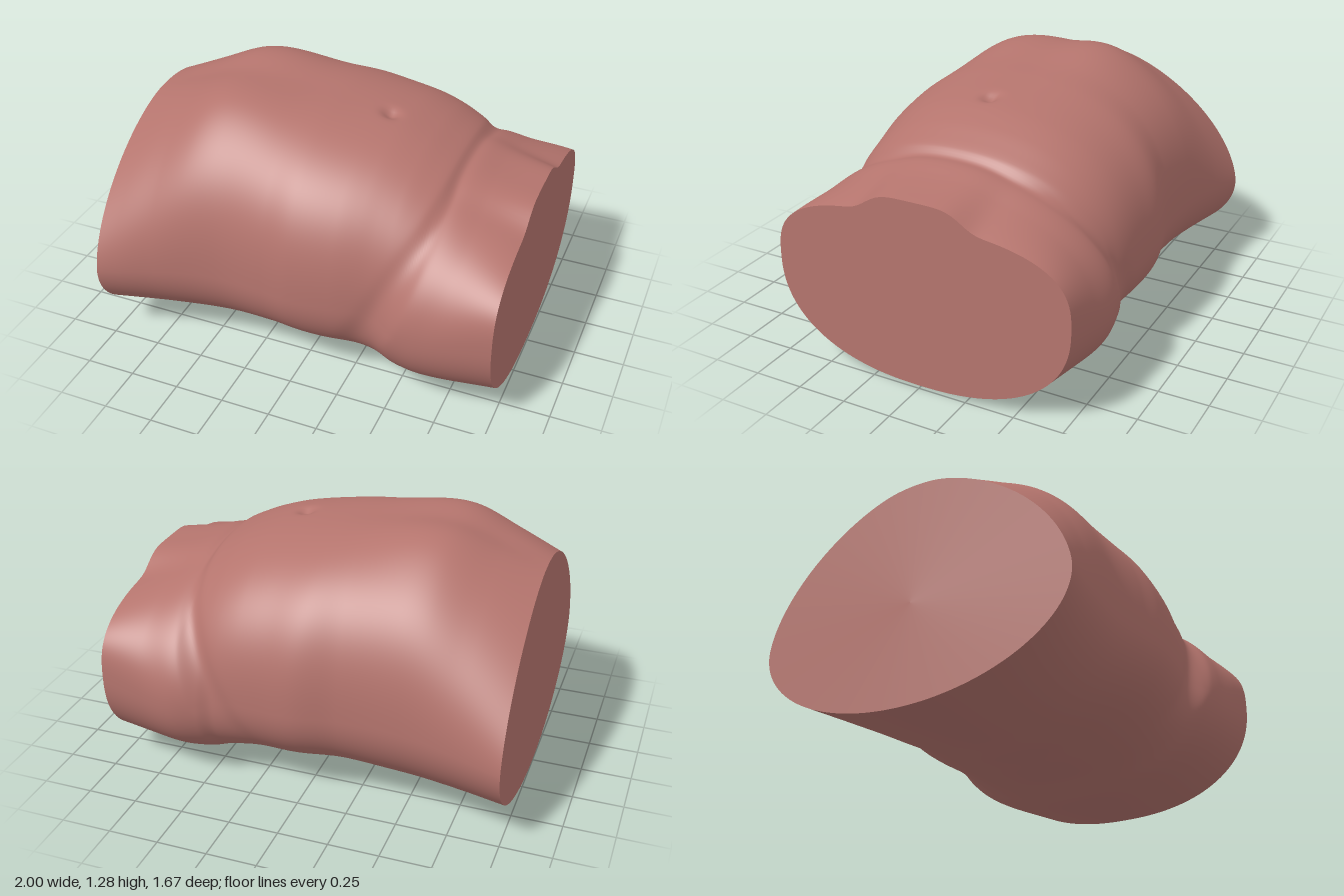
import * as THREE from 'three';

// Smooth curve through [x, value] points
function curve(pts) {
  const slope = (i) => {
    const a = pts[Math.max(i - 1, 0)], b = pts[Math.min(i + 1, pts.length - 1)];
    return (b[1] - a[1]) / (b[0] - a[0]);
  };
  return (x) => {
    if (x <= pts[0][0]) return pts[0][1];
    if (x >= pts[pts.length - 1][0]) return pts[pts.length - 1][1];
    let i = 0;
    while (x > pts[i + 1][0]) i++;
    const h = pts[i + 1][0] - pts[i][0], t = (x - pts[i][0]) / h;
    const t2 = t * t, t3 = t2 * t;
    return (2 * t3 - 3 * t2 + 1) * pts[i][1] + (t3 - 2 * t2 + t) * h * slope(i)
      + (3 * t2 - 2 * t3) * pts[i + 1][1] + (t3 - t2) * h * slope(i + 1);
  };
}

const gauss = (d, s) => Math.exp(-(d * d) / (2 * s * s));

// Underside: height and fullness along the body
const bottom = curve([[-1, 0.004], [-0.7, 0.01], [-0.4, 0.029], [-0.1, 0.06], [0.1, 0.05],
  [0.3, 0.044], [0.5, 0.006], [0.7, 0], [1, 0.016]]);
const bottomFull = curve([[-1, 2], [-0.4, 2.15], [0.3, 2.25], [1, 2.3]]);

// Outline rules along the body: top, half widths, height of the widest line, fullness
const belly = {
  top: curve([[-1, 1.12], [-0.8, 1.185], [-0.6, 1.245], [-0.45, 1.255], [-0.2, 1.24], [0, 1.228],
    [0.3, 1.185], [0.45, 1.14], [0.55, 1.095], [0.66, 1.04]]),
  left: curve([[-1, 0.835], [-0.9, 0.81], [-0.72, 0.768], [-0.4, 0.718], [-0.15, 0.735], [0, 0.75],
    [0.2, 0.73], [0.38, 0.69], [0.6, 0.66]]),
  right: curve([[-1, 0.84], [-0.75, 0.785], [-0.5, 0.75], [-0.2, 0.748], [0, 0.785], [0.15, 0.78],
    [0.4, 0.76], [0.6, 0.7]]),
  wide: curve([[-1, 0.44], [-0.5, 0.5], [0.6, 0.5]]),
  full: curve([[-1, 1.68], [-0.75, 2.05], [-0.45, 2.45], [0.2, 2.4], [0.6, 2.3]]),
};
const hip = {
  top: curve([[0.5, 1.05], [0.65, 1.025], [0.8, 0.955], [1, 0.875]]),
  left: curve([[0.2, 0.71], [0.38, 0.69], [0.5, 0.735], [0.65, 0.76], [1, 0.752]]),
  right: curve([[0.2, 0.76], [0.43, 0.76], [0.5, 0.79], [0.63, 0.815], [0.8, 0.8], [1, 0.78]]),
  wide: curve([[0.2, 0.47], [0.6, 0.45], [1, 0.52]]),
  full: curve([[0.4, 2], [0.7, 2.1], [1, 2.95]]),
};
const crease = curve([[0, 0.1], [0.2, 0.22], [0.4, 0.32], [0.6, 0.43], [0.85, 0.56], [1.03, 0.625], [1.2, 0.635]]);
const moundHeight = curve([[0.62, 0.005], [0.8, 0.04], [1, 0.085]]);

// Point of one cross-section, as [y, z]
function outline(part, x, a) {
  const c = Math.cos(a), s = Math.sin(a), up = s > 0;
  const n = up ? part.full(x) : bottomFull(x);
  const k = Math.pow(Math.pow(Math.abs(c), n) + Math.pow(Math.abs(s), n), -1 / n);
  const mid = part.wide(x);
  return [
    mid + s * k * (up ? part.top(x) - mid : mid - bottom(x)),
    c * k * (c > 0 ? part.left(x) : part.right(x)),
  ];
}

function surfacePoint(x, a) {
  const b = outline(belly, x, a), h = outline(hip, x, a);
  const up = Math.max(0, Math.sin(a));

  // Rib arches and the shallow groove between them
  const ribs = 0.042 * gauss(b[1] + 0.24, 0.16) + 0.036 * gauss(b[1] - 0.3, 0.16);
  b[0] += up * ribs * gauss(x + 0.48, 0.22);
  b[0] -= up * 0.01 * gauss(b[1], 0.07) * gauss(x + 0.8, 0.25);

  // Navel
  const d = Math.hypot((x - 0.235) * 0.9, b[1] - 0.03);
  if (up > 0) b[0] += 0.004 * gauss(d, 0.09) - 0.032 * gauss(d, 0.026);

  // Central mound between the tops of the thighs
  if (up > 0) h[0] += moundHeight(x) * Math.exp(-Math.pow(Math.abs(h[1]) / 0.26, 5));

  // Belly fold where the two outlines meet, softer towards the flanks
  const e = x - crease(b[0]);
  const soft = 1 - up;
  const t = THREE.MathUtils.smoothstep(e, -0.025 - 0.04 * soft, 0.03 + 0.13 * soft);
  const strength = THREE.MathUtils.smoothstep(b[0], 0.12, 0.4);
  const pinch = 1 - 0.012 * strength * gauss(e - 0.015, 0.025 + 0.02 * soft)
    + 0.005 * strength * gauss(e - 0.14, 0.06);
  const y = THREE.MathUtils.lerp(b[0], h[0], t), z = THREE.MathUtils.lerp(b[1], h[1], t);
  return [x, 0.45 + (y - 0.45) * pinch, z * pinch];
}

function skinGeometry(rows, cols) {
  const pos = [], idx = [];
  for (let i = 0; i <= rows; i++) {
    for (let j = 0; j < cols; j++) {
      pos.push(...surfacePoint(-1 + (2 * i) / rows, (j / cols) * Math.PI * 2));
      if (i === rows) continue;
      const a = i * cols + j, b = i * cols + ((j + 1) % cols);
      idx.push(a, a + cols, b, b, a + cols, b + cols);
    }
  }
  return build(pos, idx);
}

// Flat cut face closing one end
function capGeometry(x, cols) {
  const pos = [x, 0.5, 0], idx = [];
  for (let j = 0; j < cols; j++) {
    pos.push(...surfacePoint(x, (j / cols) * Math.PI * 2));
    const a = 1 + j, b = 1 + ((j + 1) % cols);
    if (x > 0) idx.push(0, b, a);
    else idx.push(0, a, b);
  }
  return build(pos, idx);
}

function build(pos, idx) {
  const g = new THREE.BufferGeometry();
  g.setAttribute('position', new THREE.Float32BufferAttribute(pos, 3));
  g.setIndex(idx);
  g.computeVertexNormals();
  return g;
}

export function createModel() {
  const group = new THREE.Group();
  group.name = 'abdomen';
  const skin = new THREE.MeshStandardMaterial({ color: 0xb4746d });
  const add = (name, geometry) => {
    const mesh = new THREE.Mesh(geometry, skin);
    mesh.name = name;
    group.add(mesh);
  };
  const cols = 200;
  add('torsoSkin', skinGeometry(200, cols));
  add('chestCutFace', capGeometry(-1, cols));
  add('hipCutFace', capGeometry(1, cols));
  return group;
}
